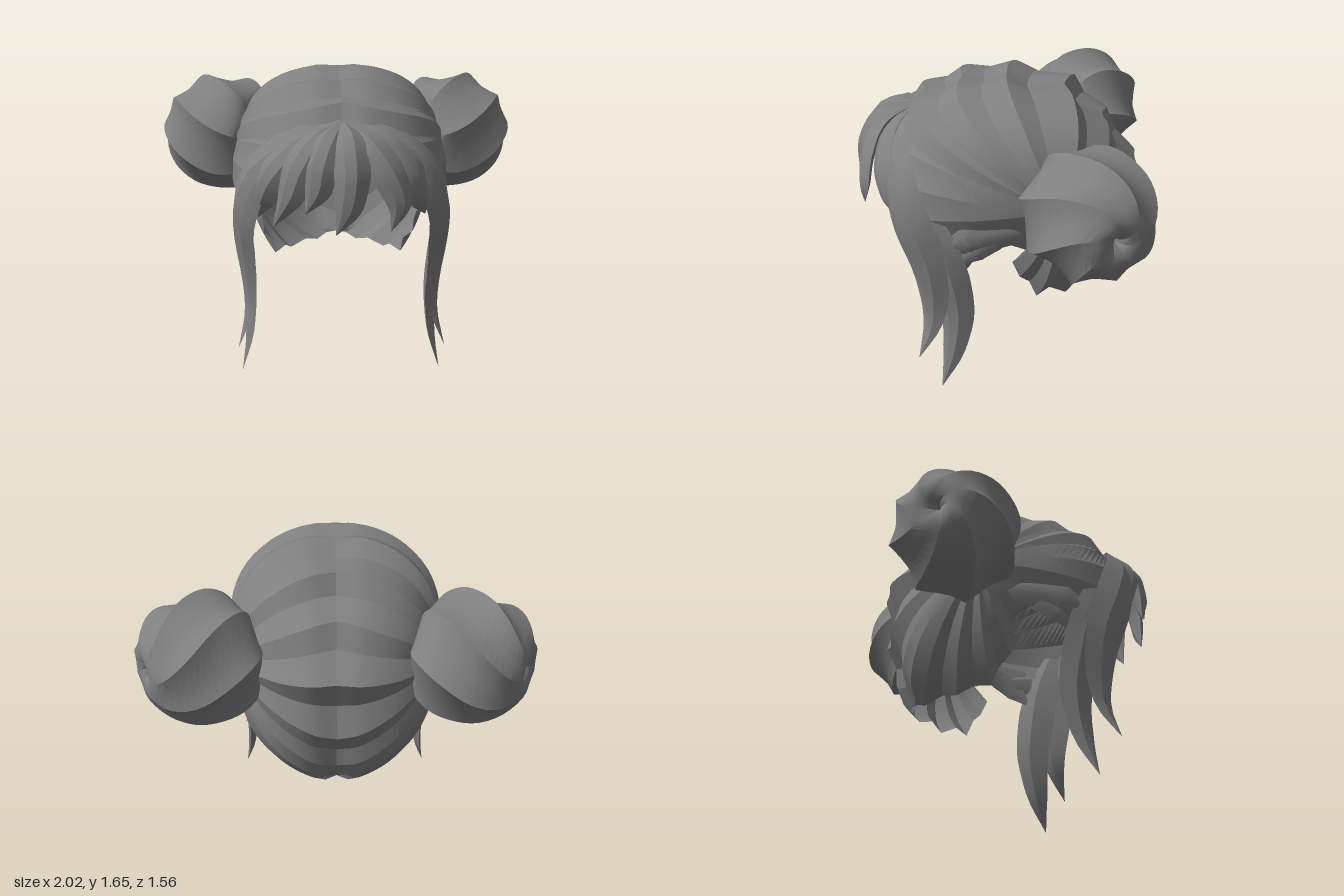
import * as THREE from 'three';
import { toCreasedNormals } from 'three/addons/utils/BufferGeometryUtils.js';

const V = (x, y, z) => new THREE.Vector3(x, y, z);
const hair = new THREE.MeshStandardMaterial({ color: 0x808080, side: THREE.DoubleSide });
hair.name = 'hair grey';
const HEAD = V(0, 1.05, -0.05);

// Surface from a rule f(i, j) -> point; side = -1 mirrors it to the other half.
function grid(name, f, nu, nv, side, inward, crease = 0.45) {
  const pos = [], index = [];
  for (let i = 0; i <= nu; i++) for (let j = 0; j <= nv; j++) {
    const p = f(i, j);
    pos.push(p.x * side, p.y, p.z);
  }
  const flip = inward !== (side < 0);
  for (let i = 0; i < nu; i++) for (let j = 0; j < nv; j++) {
    const a = i * (nv + 1) + j, b = a + nv + 1, c = a + 1, d = b + 1;
    if (flip) index.push(a, c, b, b, c, d);
    else index.push(a, b, c, b, d, c);
  }
  const geo = new THREE.BufferGeometry();
  geo.setAttribute('position', new THREE.Float32BufferAttribute(pos, 3));
  geo.setIndex(index);
  const mesh = new THREE.Mesh(toCreasedNormals(geo, crease), hair);
  mesh.name = name;
  return mesh;
}

// Midline from forehead over the crown to the nape, as alternating ridges and grooves (z, y).
const midline = [
  [0.51, 1.46], [0.43, 1.57], [0.31, 1.57], [0.22, 1.64], [0.1, 1.615], [-0.02, 1.665],
  [-0.13, 1.595], [-0.33, 1.61], [-0.39, 1.51], [-0.54, 1.44], [-0.6, 1.31], [-0.735, 1.18],
  [-0.67, 1.02], [-0.71, 0.84], [-0.63, 0.72], [-0.61, 0.6], [-0.55, 0.49],
].map(([z, y]) => V(0, y, z));
// Open edge round the nape, ear, temple and forehead.
const edge = [
  [0.06, 0.49, -0.55], [0.12, 0.465, -0.5], [0.19, 0.5, -0.42], [0.28, 0.47, -0.36], [0.31, 0.52, -0.27],
  [0.37, 0.5, -0.2], [0.38, 0.6, -0.16], [0.43, 0.66, -0.11], [0.43, 0.75, -0.07], [0.48, 0.86, -0.14],
  [0.52, 0.92, -0.03], [0.53, 0.95, 0.1], [0.53, 0.97, 0.25], [0.53, 1.05, 0.36],
  [0.47, 1.2, 0.44], [0.33, 1.34, 0.48], [0.15, 1.42, 0.5], [0, 1.45, 0.49],
].map((p) => V(...p));

function headRadius(d) {
  const width = 0.55 + 0.06 * d.y;
  const sum = [d.x / width, d.y / 0.58, d.z / 0.64].reduce((s, k) => s + Math.pow(Math.abs(k), 2.3), 0);
  return Math.pow(sum, -1 / 2.3);
}

// Half of the cap: ridged strands run from the outline to the root of the bun.
function capHalf(side) {
  const outline = [...midline, ...edge];
  const root = V(0.53, 0.07, -0.25);
  const steps = 22;
  return grid('cap', (i, j) => {
    const p = outline[i].clone().sub(HEAD);
    const t = j / steps;
    const ratio = p.length() / headRadius(p.clone().normalize());
    const d = p.clone().lerp(root, t);
    let parting = 1;
    // Strands leave the parting sideways, then sweep back to the bun.
    if (i < midline.length) {
      d.x = root.x * Math.pow(t, 0.8);
      d.z = THREE.MathUtils.lerp(p.z, root.z, Math.pow(t, 1.8));
      parting -= 0.03 * Math.exp(-Math.pow(t / 0.09, 2));
    }
    d.normalize();
    const r = headRadius(d) * (1 + (ratio - 1) * (1 - t)) * parting;
    return d.multiplyScalar(r).add(HEAD);
  }, outline.length - 1, steps, side, true, 0.3);
}

// Tapered lock with a ridged section, following a curve of points.
const section = [[1, 0], [0.45, 0.85], [-0.2, 1], [-1, 0], [-0.2, -0.6], [1, 0]];
function lock(name, points, widths, side = 1, thick = 0.4, endNormal = null) {
  const curve = new THREE.CatmullRomCurve3(points.map((p) => V(...p)));
  const n = 18, last = widths.length - 1;
  return grid(name, (i, j) => {
    const t = i / n;
    const p = curve.getPoint(t), tan = curve.getTangent(t);
    const out = p.clone().sub(HEAD).normalize();
    if (endNormal) out.lerp(endNormal, Math.min(1, 2 * t));
    out.addScaledVector(tan, -out.dot(tan)).normalize();
    const across = tan.clone().cross(out);
    const k = Math.min(last - 1, Math.floor(t * last));
    const w = THREE.MathUtils.lerp(widths[k], widths[k + 1], t * last - k) / 2;
    const [a, b] = section[j];
    return p.addScaledVector(across, a * w).addScaledVector(out, b * w * thick);
  }, n, section.length - 1, side, false);
}

// Twisted bun: a rounded profile with spiral ridges, pinched at the tip.
const bunProfile = new THREE.CatmullRomCurve3([
  [0.14, 0], [0.25, 0.05], [0.305, 0.15], [0.315, 0.27], [0.295, 0.39], [0.23, 0.5], [0.13, 0.57], [0.05, 0.56], [0, 0.5],
].map(([r, s]) => V(r, s, 0)));
function bun(side) {
  const axis = V(0.887, -0.02, -0.46).normalize();
  const base = V(0.44, 1.19, -0.325);
  const e1 = V(0, 1, 0).addScaledVector(axis, -axis.y).normalize();
  const e2 = axis.clone().cross(e1);
  const rows = 28, teeth = 7;
  return grid('bun', (i, j) => {
    const t = i / rows, q = bunProfile.getPoint(t);
    const ridge = j % 2 ? 1.08 : 0.93;
    const angle = ((j + (j % 2 ? 0.3 : 0)) / (teeth * 2)) * Math.PI * 2 - 0.5 * t - 1.5 * t * t;
    const r = Math.max(0, q.x) * ridge;
    return base.clone().addScaledVector(axis, q.y)
      .addScaledVector(e1, r * Math.cos(angle)).addScaledVector(e2, r * Math.sin(angle));
  }, rows, teeth * 2, side, true, 0.6);
}

export function createModel() {
  const model = new THREE.Group();
  model.name = 'hairstyle';
  for (const side of [1, -1]) {
    const half = new THREE.Group();
    half.name = side > 0 ? 'leftHalf' : 'rightHalf';
    half.add(capHalf(side), bun(side));
    // Long locks framing the face.
    half.add(lock('frontSideLock', [
      [0, 1.45, 0.49], [0.24, 1.37, 0.53], [0.43, 1.2, 0.5], [0.5, 1.0, 0.44],
      [0.505, 0.8, 0.37], [0.49, 0.55, 0.345], [0.5, 0.38, 0.36], [0.56, 0.2, 0.43],
    ], [0.08, 0.18, 0.24, 0.26, 0.26, 0.18, 0.11, 0], side, 0.4, V(0.9, 0, 0.42)));
    half.add(lock('rearSideLock', [
      [0.5, 1.1, 0.35], [0.51, 0.9, 0.29], [0.5, 0.7, 0.25], [0.485, 0.45, 0.22], [0.5, 0.2, 0.25], [0.55, 0, 0.31],
    ], [0.1, 0.2, 0.22, 0.19, 0.12, 0], side, 0.45, V(0.95, 0, 0.25)));
    // Short strands sweeping back over the ear.
    half.add(lock('templeStrand', [
      [0.47, 1.02, -0.3], [0.53, 0.98, -0.05], [0.545, 0.94, 0.15], [0.53, 0.87, 0.33],
    ], [0.1, 0.15, 0.18, 0], side, 0.3));
    half.add(lock('templeStrand', [
      [0.5, 1.0, -0.1], [0.53, 0.94, 0.02], [0.535, 0.87, 0.12], [0.52, 0.77, 0.22],
    ], [0.08, 0.13, 0.12, 0], side, 0.3));
    model.add(half);
  }
  // Fringe strands fanning from the parting.
  const fringe = [
    [[0, 1.46, 0.47], [0.2, 1.37, 0.58], [0.33, 1.23, 0.6], [0.39, 1.1, 0.57], [0.42, 1.0, 0.53]],
    [[0, 1.46, 0.47], [-0.2, 1.37, 0.58], [-0.34, 1.23, 0.59], [-0.4, 1.1, 0.55], [-0.43, 0.98, 0.5]],
    [[0, 1.46, 0.47], [0.12, 1.39, 0.63], [0.21, 1.27, 0.69], [0.27, 1.12, 0.71], [0.23, 0.98, 0.73]],
    [[0, 1.46, 0.47], [-0.13, 1.39, 0.62], [-0.21, 1.28, 0.67], [-0.26, 1.15, 0.68], [-0.35, 0.98, 0.65]],
    [[0, 1.46, 0.47], [-0.07, 1.4, 0.64], [-0.11, 1.3, 0.7], [-0.13, 1.19, 0.72], [-0.19, 1.07, 0.72]],
    [[0, 1.46, 0.47], [0.03, 1.41, 0.65], [0.04, 1.27, 0.73], [0.02, 1.11, 0.75], [-0.04, 0.97, 0.75]],
  ];
  fringe.forEach((path) => model.add(lock('fringeStrand', path, [0.06, 0.17, 0.18, 0.14, 0], 1, 0.5)));
  return model;
}
